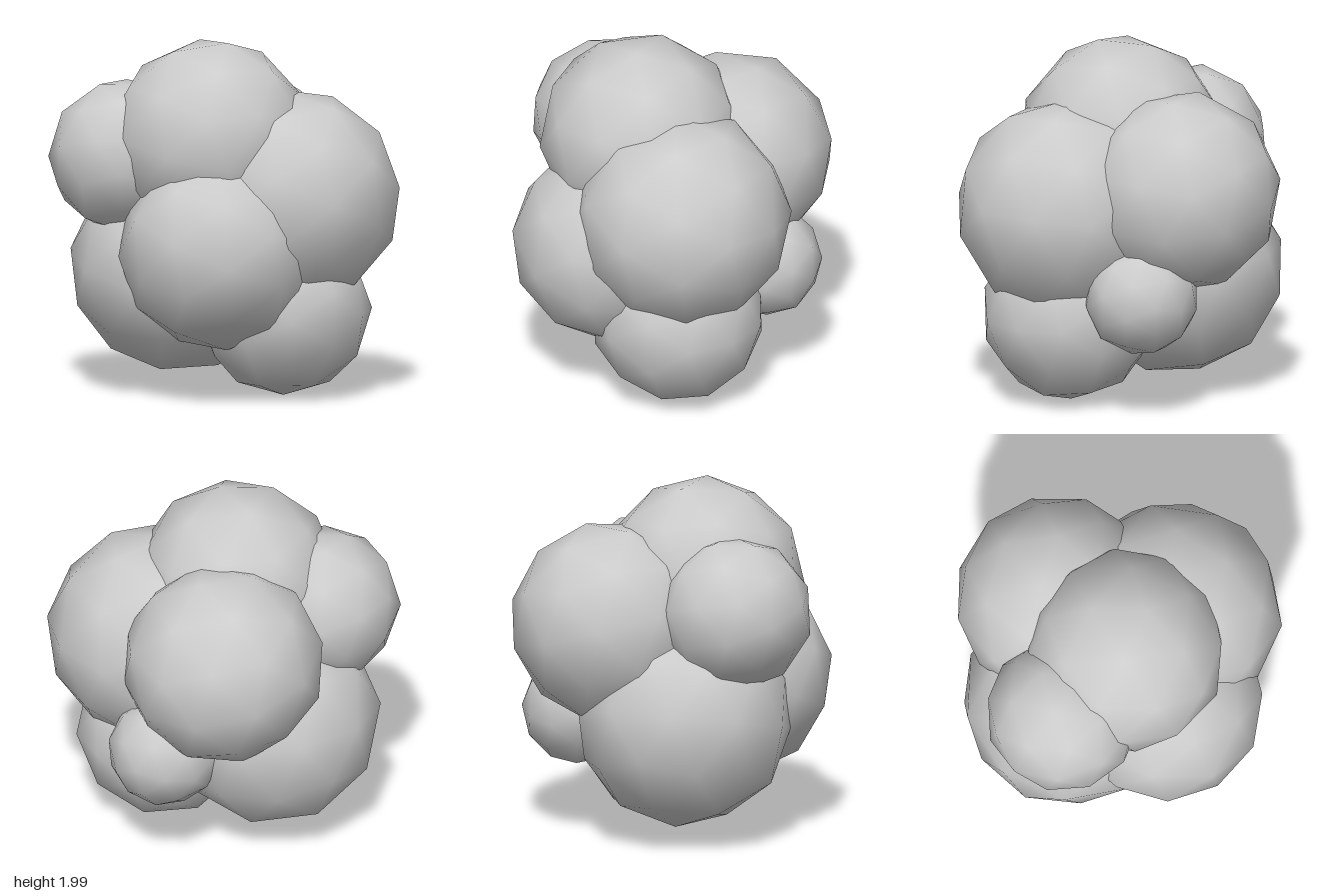
import * as THREE from 'three';

// Cluster of overlapping low-poly balls: name, centre, radius
const BALLS = [
  ['frontBall', -0.025, 0.85, 0.38, 0.567],
  ['topBall', -0.08, 1.435, 0.155, 0.572],
  ['leftBall', 0.37, 1.11, 0.17, 0.615],
  ['bottomBall', 0.33, 0.49, 0.17, 0.492],
  ['lowerBackBall', -0.27, 0.695, -0.085, 0.607],
  ['rightBall', -0.555, 1.33, 0.07, 0.435],
  ['upperBackBall', 0.02, 1.225, -0.385, 0.57],
  ['smallBackBall', 0.345, 0.68, -0.395, 0.32],
];

export function createModel() {
  const group = new THREE.Group();
  group.name = 'ballCluster';
  const material = new THREE.MeshStandardMaterial({ color: 0xcccccc });
  // Coarse icosphere with smooth normals
  const sphere = new THREE.IcosahedronGeometry(1, 1);

  BALLS.forEach(([name, x, y, z, r], i) => {
    const ball = new THREE.Mesh(sphere, material);
    ball.name = name;
    ball.position.set(x, y, z);
    ball.scale.setScalar(r);
    // Turn each ball differently so the facets do not line up
    ball.rotation.set(0.4 + i * 0.9, 0.7 + i * 1.3, i * 0.5);
    group.add(ball);
  });
  return group;
}
